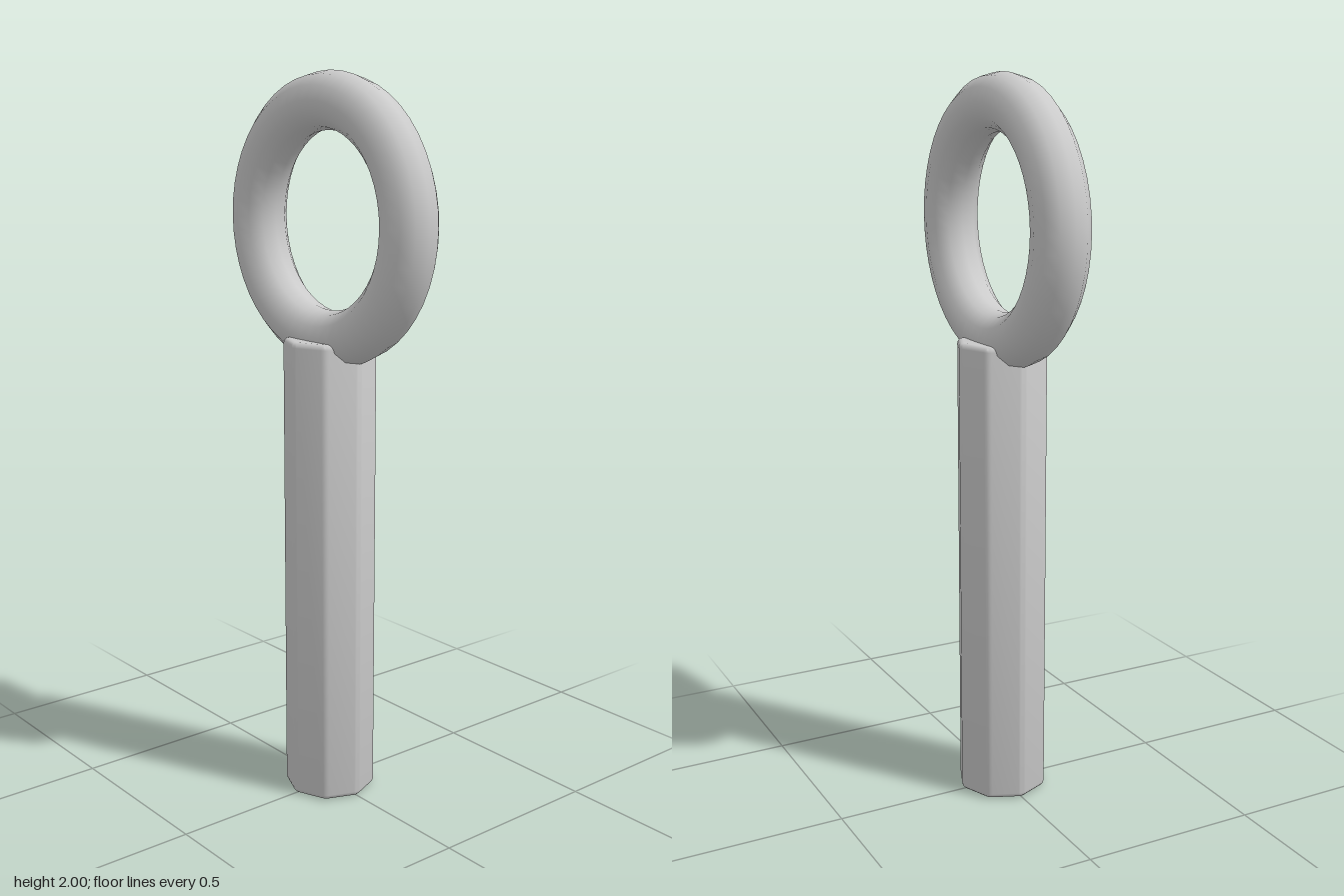
import * as THREE from 'three';
import { toCreasedNormals } from 'three/addons/utils/BufferGeometryUtils.js';

const material = new THREE.MeshStandardMaterial({ color: 0xcccccc });

// Regular polygon with a corner on each axis, corners softly rounded
function roundedPolygon(sides, radius, softness) {
  const corner = (i) => {
    const a = (i / sides) * Math.PI * 2;
    return new THREE.Vector2(Math.cos(a) * radius, Math.sin(a) * radius);
  };
  const shape = new THREE.Shape();
  for (let i = 0; i < sides; i++) {
    const p = corner(i);
    const start = p.clone().lerp(corner(i - 1), softness);
    const end = p.clone().lerp(corner(i + 1), softness);
    if (i === 0) shape.moveTo(start.x, start.y);
    else shape.lineTo(start.x, start.y);
    shape.quadraticCurveTo(p.x, p.y, end.x, end.y);
  }
  shape.closePath();
  return shape;
}

export function createModel() {
  const group = new THREE.Group();
  group.name = 'ringHandle';

  // Octagonal shaft with bevelled ends
  const height = 1.3, bevel = 0.014;
  const shaftGeometry = new THREE.ExtrudeGeometry(roundedPolygon(8, 0.128, 0.12), {
    depth: height - 2 * bevel,
    bevelEnabled: true,
    bevelThickness: bevel,
    bevelSize: bevel,
    bevelOffset: -bevel,
    bevelSegments: 3,
    curveSegments: 4,
  });
  shaftGeometry.translate(0, 0, bevel);
  shaftGeometry.rotateX(-Math.PI / 2);
  const shaft = new THREE.Mesh(toCreasedNormals(shaftGeometry, Math.PI / 5), material);
  shaft.name = 'shaft';
  group.add(shaft);

  // Ring sunk into the top of the shaft
  const ring = new THREE.Mesh(new THREE.TorusGeometry(0.312, 0.076, 12, 48), material);
  ring.name = 'ring';
  ring.position.y = 1.612;
  group.add(ring);

  return group;
}
